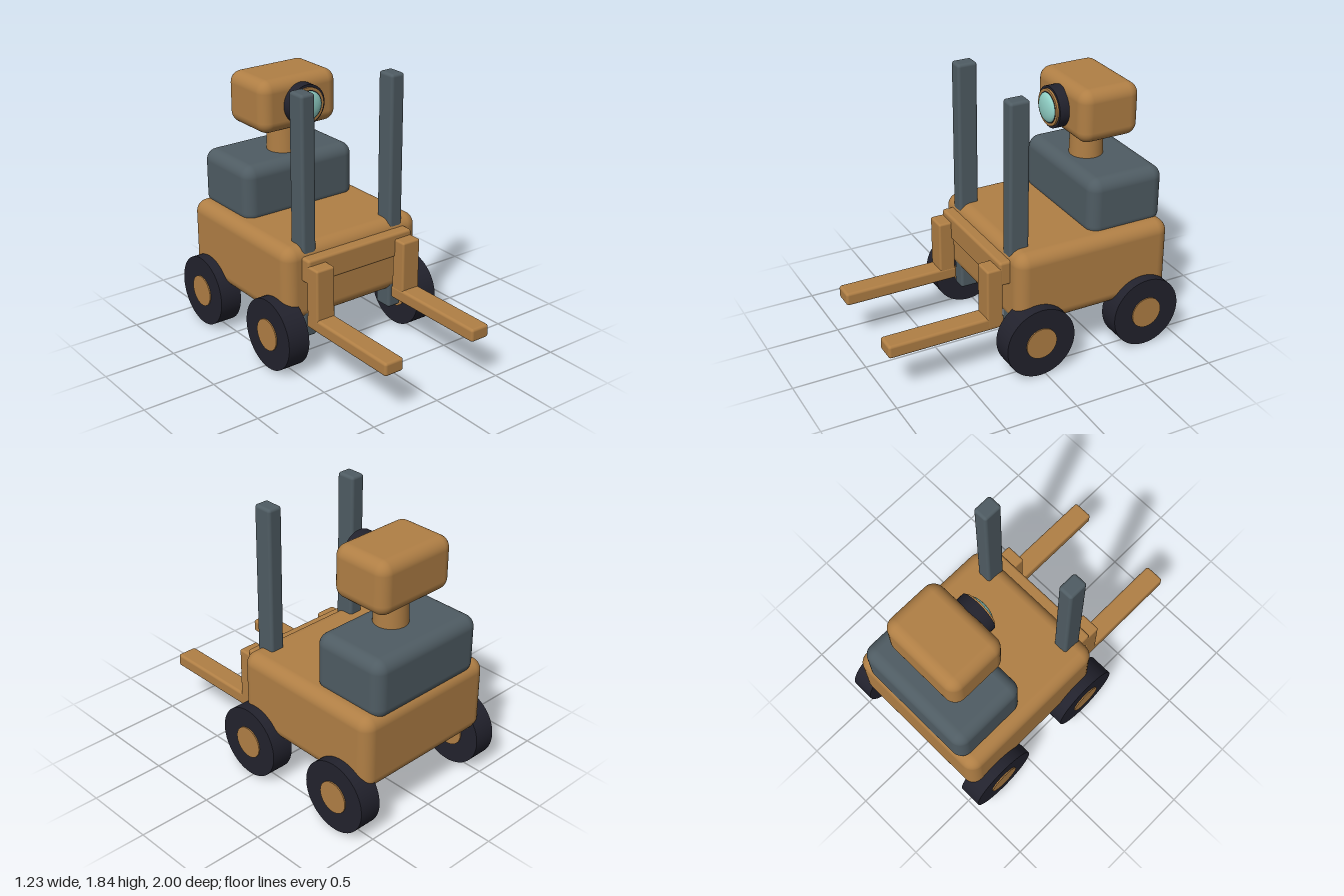
import * as THREE from 'three';
import { RoundedBoxGeometry } from 'three/addons/geometries/RoundedBoxGeometry.js';

const paint = (name, color) => {
  const m = new THREE.MeshStandardMaterial({ color });
  m.name = name;
  return m;
};

export function createModel() {
  const ochre = paint('ochre', 0xb07f45);
  const slate = paint('slate', 0x4f5c63);
  const rubber = paint('rubber', 0x22222d);
  const glass = paint('glass', 0x92d2c8);

  const model = new THREE.Group();
  model.name = 'forkliftRobot';

  const add = (name, geometry, material, parent = model) => {
    const mesh = new THREE.Mesh(geometry, material);
    mesh.name = name;
    parent.add(mesh);
    return mesh;
  };
  // Rounded box given by its limits on each axis
  const box = (name, material, [x0, x1], [y0, y1], [z0, z1], radius) => {
    const mesh = add(name, new RoundedBoxGeometry(x1 - x0, y1 - y0, z1 - z0, 5, radius), material);
    mesh.position.set((x0 + x1) / 2, (y0 + y1) / 2, (z0 + z1) / 2);
    return mesh;
  };

  // Chassis, torso and head
  box('chassis', ochre, [-0.535, 0.535], [0.325, 0.845], [-0.96, 0.163], 0.085);
  box('torso', slate, [-0.44, 0.44], [0.79, 1.195], [-0.955, -0.41], 0.08);
  box('head', ochre, [-0.302, 0.302], [1.387, 1.745], [-0.84, -0.41], 0.08);
  add('neck', new THREE.CylinderGeometry(0.108, 0.114, 0.26, 40), ochre).position.set(0, 1.29, -0.625);

  // Camera eye: housing, inner ring and domed lens
  const eye = new THREE.Group();
  eye.name = 'eye';
  eye.position.set(0, 1.567, -0.41);
  model.add(eye);
  const disc = (name, radius, z0, z1, material) => {
    const geometry = new THREE.CylinderGeometry(radius, radius, z1 - z0, 48).rotateX(Math.PI / 2);
    add(name, geometry, material, eye).position.z = (z0 + z1) / 2;
  };
  disc('eyeHousing', 0.139, -0.05, 0.068, rubber);
  disc('eyeRing', 0.122, 0.05, 0.082, ochre);
  disc('lensGasket', 0.104, 0.07, 0.084, rubber);
  const dome = new THREE.SphereGeometry(0.099, 40, 12, 0, Math.PI * 2, 0, Math.PI / 2);
  const lens = add('lens', dome.rotateX(Math.PI / 2), glass, eye);
  lens.position.z = 0.082;
  lens.scale.z = 0.35;

  // Crossbar of the fork carriage
  box('crossbar', ochre, [-0.418, 0.418], [0.615, 0.782], [0.13, 0.235], 0.018);

  for (const [label, s] of [['left', 1], ['right', -1]]) {
    const span = (a, b) => (s > 0 ? [a, b] : [-b, -a]);

    // Lift mast, fork upright and prong
    box(label + 'Mast', slate, span(0.298, 0.402), [0.2, 1.835], [0.018, 0.155], 0.02);
    box(label + 'ForkUpright', ochre, span(0.278, 0.418), [0.32, 0.743], [0.21, 0.322], 0.014);
    box(label + 'ForkProng', ochre, span(0.276, 0.417), [0.31, 0.4], [0.2, 1], 0.018);

    // Wheels with hubs showing on both faces
    for (const [end, z] of [['Front', 0.034], ['Back', -0.757]]) {
      const wheel = new THREE.Group();
      wheel.name = label + end + 'Wheel';
      wheel.position.set(s * 0.527, 0.243, z);
      wheel.rotation.z = Math.PI / 2;
      model.add(wheel);
      add('tyre', new THREE.CylinderGeometry(0.243, 0.243, 0.155, 56), rubber, wheel);
      add('hub', new THREE.CylinderGeometry(0.108, 0.108, 0.171, 40), ochre, wheel);
    }
  }
  return model;
}
